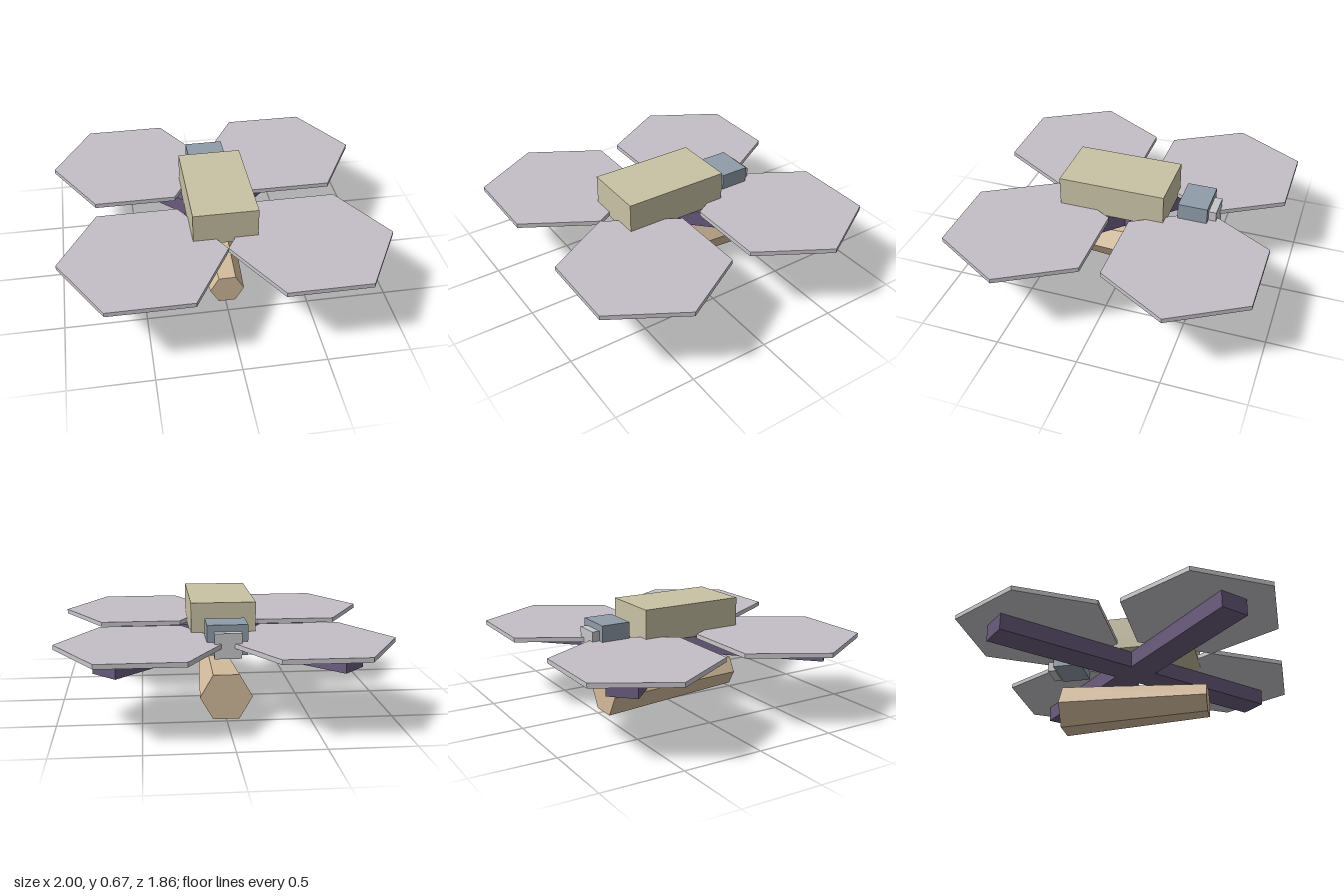
import * as THREE from 'three';

const mat = (name, color) => {
  const m = new THREE.MeshStandardMaterial({ color });
  m.name = name;
  m.flatShading = true;
  return m;
};

export function createModel() {
  const model = new THREE.Group();
  model.name = 'quadcopter';

  const khaki = mat('khaki', 0xc8c2a4);
  const lilac = mat('lilacGrey', 0xc4bec6);
  const grey = mat('lightGrey', 0xc6c6ca);
  const purple = mat('purple', 0x6a5c7e);
  const blue = mat('blueGrey', 0x8f9ca9);
  const tan = mat('tan', 0xd3bb9c);

  const add = (name, geometry, material, x, y, z) => {
    const mesh = new THREE.Mesh(geometry, material);
    mesh.name = name;
    mesh.position.set(x, y, z);
    model.add(mesh);
    return mesh;
  };
  const box = (name, material, x0, x1, y0, y1, z0, z1) =>
    add(name, new THREE.BoxGeometry(x1 - x0, y1 - y0, z1 - z0), material,
      (x0 + x1) / 2, (y0 + y1) / 2, (z0 + z1) / 2);

  // six-sided prism with corners pointing along x
  const hexPrism = (rTop, rBottom, height) =>
    new THREE.CylinderGeometry(rTop, rBottom, height, 6).rotateY(Math.PI / 6);

  // main body above the arms
  box('body', khaki, -0.197, 0.197, 0.458, 0.67, -0.265, 0.4);

  // camera block and lens at the back
  box('cameraBlock', blue, -0.12, 0.12, 0.41, 0.59, -0.518, -0.335);
  box('cameraLens', grey, -0.08, 0.08, 0.4, 0.55, -0.565, -0.515);

  // crossed arms
  for (const s of [-1, 1]) {
    const arm = add('arm', new THREE.BoxGeometry(1.995, 0.104, 0.183), purple, 0, 0.407, 0);
    arm.rotation.y = s * Math.PI / 4;
  }

  // rotor discs, one over each arm end
  for (const x of [-0.5, 0.5]) {
    for (const z of [-0.497, 0.497]) {
      add('rotorDisc', hexPrism(0.5, 0.5, 0.028), [grey, lilac, grey], x, 0.475, z);
    }
  }

  // tapered pod slung below, narrow end forward
  add('pod', hexPrism(0.104, 0.158, 0.925).rotateX(Math.PI / 2), tan, 0, 0.138, 0);

  return model;
}
